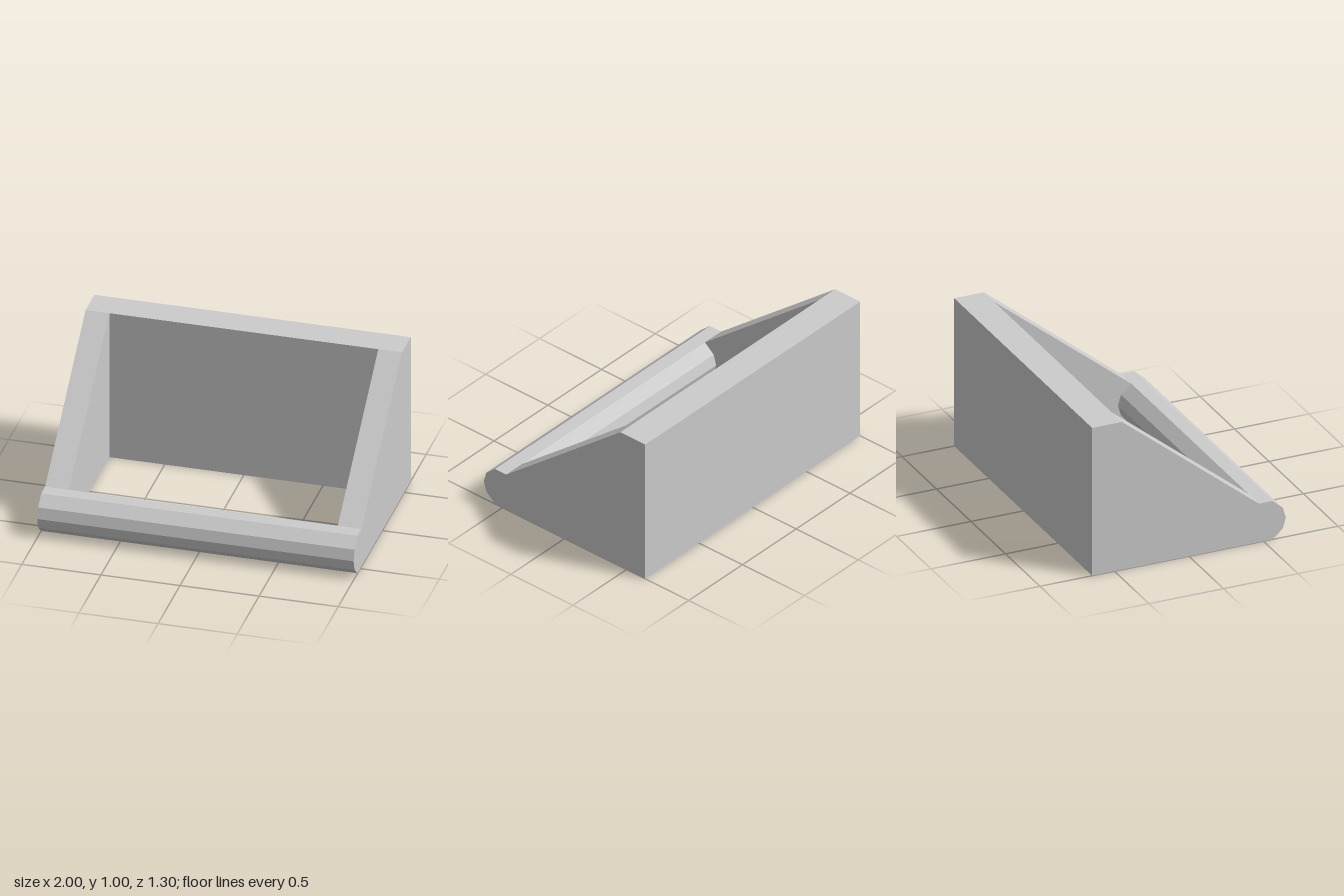
import * as THREE from 'three';

const material = new THREE.MeshStandardMaterial({ color: 0xcccccc, flatShading: true });
const HALF = 1;      // half of the overall width
const WALL = 0.15;   // side panel thickness

// Extrudes a (z, y) profile along x, from x0 to x1
function prism(name, profile, x0, x1) {
  const shape = new THREE.Shape(profile.map(([z, y]) => new THREE.Vector2(z, y)));
  const geometry = new THREE.ExtrudeGeometry(shape, { depth: x1 - x0, bevelEnabled: false });
  geometry.rotateY(-Math.PI / 2).translate(x1, 0, 0);
  const mesh = new THREE.Mesh(geometry, material);
  mesh.name = name;
  return mesh;
}

export function createModel() {
  const group = new THREE.Group();
  group.name = 'slopedBin';

  // Ten-sided front bar: front half, then its mirror image behind the bar's centre
  const barZ = 0.515;
  const nose = [[0.56, 0], [0.63, 0.06], [0.65, 0.13], [0.63, 0.2], [0.56, 0.26]];
  const heel = nose.map(([z, y]) => [2 * barZ - z, y]).reverse();
  const inner = HALF - WALL;
  group.add(prism('frontBar', [...nose, ...heel], -inner, inner));

  // Sloped side panels, their front edge following the bar
  const side = [[-0.65, 0], ...nose, [0.47, 0.26], [-0.45, 1], [-0.65, 1]];
  group.add(prism('leftPanel', side, inner, HALF));
  group.add(prism('rightPanel', side, -HALF, -inner));

  // Upright back panel
  const back = [[-0.65, 0], [-0.45, 0], [-0.45, 1], [-0.65, 1]];
  group.add(prism('backPanel', back, -inner, inner));

  return group;
}
